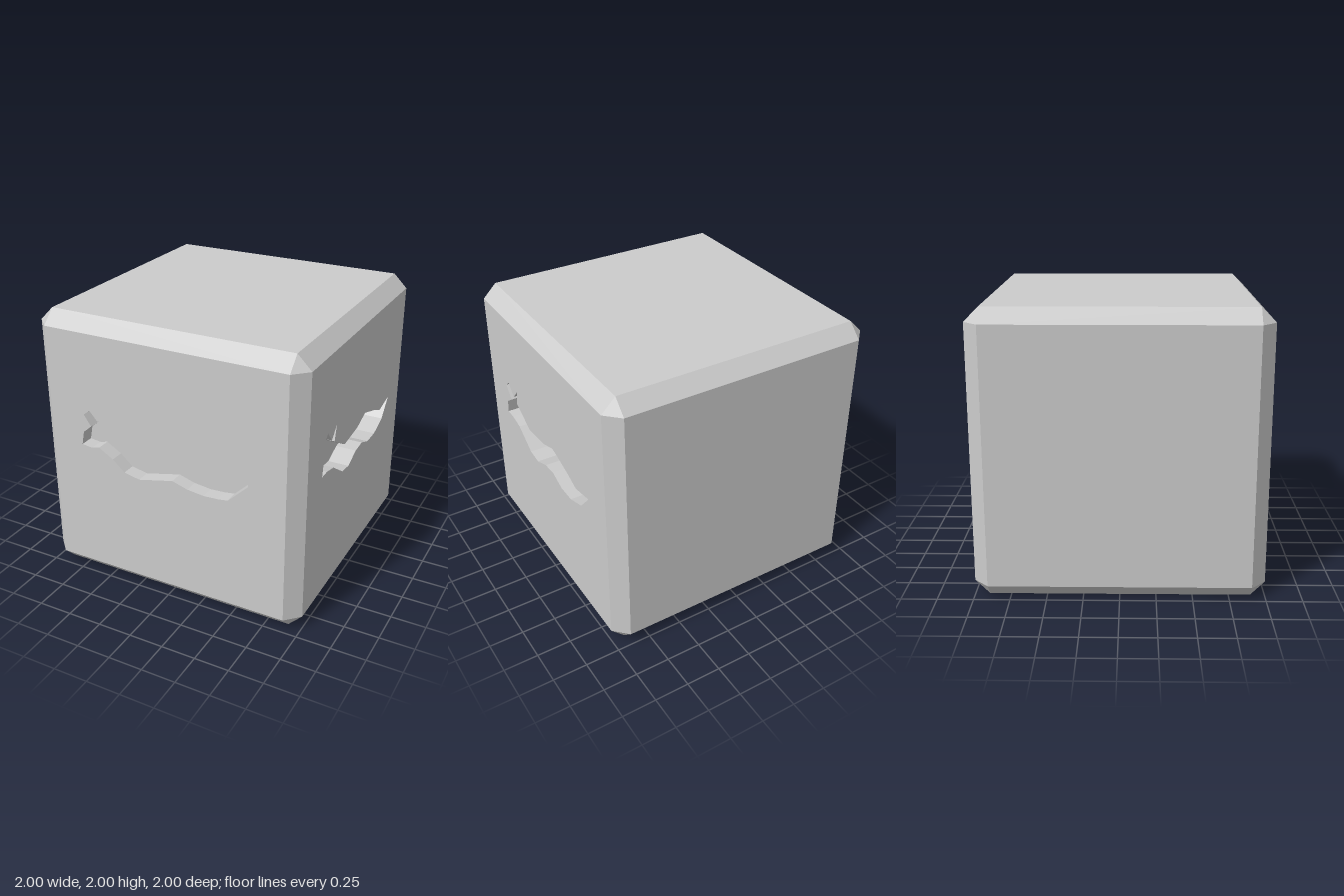
import * as THREE from 'three';

const HALF = 1, FLAT = 0.9; // half size of the block and of its flat faces
const material = new THREE.MeshStandardMaterial({ color: 0xcccccc, flatShading: true });

// Animal outlines, clockwise, relative to the centre of the face
const frontOutline = [
  [-0.66, 0.065], [-0.64, 0.165], [-0.575, 0.22], [-0.63, 0.3], [-0.58, 0.34], [-0.52, 0.27],
  [-0.4, 0.32], [-0.465, 0.22], [-0.36, 0.19], [-0.24, 0.11], [-0.055, 0.13], [0.1, 0.165],
  [0.3, 0.155], [0.43, 0.065], [0.545, 0.07], [0.63, 0.12], [0.63, 0.065], [0.485, -0.075],
  [0.41, -0.085], [0.305, -0.09], [0.18, -0.075], [0.065, -0.04], [-0.2, -0.1],
  [-0.32, -0.075], [-0.41, 0.005], [-0.52, 0.07], [-0.58, 0.055],
];
const sideOutline = [
  [-0.655, 0.06], [-0.64, 0.16], [-0.56, 0.215], [-0.635, 0.305], [-0.585, 0.35], [-0.51, 0.265],
  [-0.43, 0.35], [-0.46, 0.235], [-0.26, 0.12], [-0.015, 0.14], [0.135, 0.19], [0.34, 0.125],
  [0.475, 0.07], [0.66, 0.105], [0.54, -0.03], [0.38, -0.085], [0.235, -0.085],
  [0.105, -0.035], [-0.015, -0.045], [-0.155, -0.1], [-0.275, -0.085], [-0.455, 0.035],
  [-0.57, 0.06],
];

function addMesh(parent, name, geometry) {
  const mesh = new THREE.Mesh(geometry, material);
  mesh.name = name;
  parent.add(mesh);
  return mesh;
}

function fromTriangles(points) {
  const geometry = new THREE.BufferGeometry().setFromPoints(points);
  geometry.computeVertexNormals();
  return geometry;
}

// Flat square face, optionally with a sunken carving
function makeFace(name, outline, depth) {
  const face = new THREE.Group();
  face.name = name;
  const square = new THREE.Shape([[-1, -1], [1, -1], [1, 1], [-1, 1]]
    .map(([x, y]) => new THREE.Vector2(x * FLAT, y * FLAT)));
  if (outline) {
    const points = outline.map(([x, y]) => new THREE.Vector2(x, y));
    square.holes.push(new THREE.Path(points));
    addMesh(face, 'carvingFloor', new THREE.ShapeGeometry(new THREE.Shape(points)))
      .position.z = HALF - depth;
    const walls = [];
    points.forEach((p, i) => {
      const q = points[(i + 1) % points.length];
      const at = (v, z) => new THREE.Vector3(v.x, v.y, z);
      const [a, b] = [at(p, HALF), at(q, HALF)];
      const [c, d] = [at(q, HALF - depth), at(p, HALF - depth)];
      walls.push(a, c, b, a, d, c);
    });
    addMesh(face, 'carvingWalls', fromTriangles(walls));
  }
  addMesh(face, 'facePanel', new THREE.ShapeGeometry(square)).position.z = HALF;
  return face;
}

// Bevel strips on the 12 edges and triangles on the 8 corners
function bevelGeometry() {
  const points = [];
  const addTriangle = (a, b, c) => {
    const normal = b.clone().sub(a).cross(c.clone().sub(a));
    const centre = a.clone().add(b).add(c);
    points.push(...(normal.dot(centre) > 0 ? [a, b, c] : [a, c, b]));
  };
  // Corner of the flat face lying across the given axis
  const corner = (signs, axis) => new THREE.Vector3(
    ...signs.map((s, i) => s * (i === axis ? HALF : FLAT)));
  for (const s of [-1, 1]) for (const t of [-1, 1]) {
    for (let along = 0; along < 3; along++) {
      const u = (along + 1) % 3, v = (along + 2) % 3;
      const ends = [-1, 1].map((e) => {
        const signs = [0, 0, 0];
        signs[along] = e;
        signs[u] = s;
        signs[v] = t;
        return signs;
      });
      const [a, b] = [corner(ends[0], u), corner(ends[1], u)];
      const [c, d] = [corner(ends[1], v), corner(ends[0], v)];
      addTriangle(a, b, c);
      addTriangle(a, c, d);
    }
    for (const r of [-1, 1]) addTriangle(...[0, 1, 2].map((axis) => corner([s, t, r], axis)));
  }
  return fromTriangles(points);
}

export function createModel() {
  const model = new THREE.Group();
  model.name = 'carvedBlock';
  const block = new THREE.Group();
  block.name = 'block';
  block.position.y = HALF;
  model.add(block);

  // Name, x turn, y turn, carving outline, carving depth
  const faces = [
    ['frontFace', 0, 0, frontOutline, 0.1],
    ['leftFace', 0, Math.PI / 2, sideOutline, 0.15],
    ['backFace', 0, Math.PI],
    ['rightFace', 0, -Math.PI / 2],
    ['topFace', -Math.PI / 2, 0],
    ['bottomFace', Math.PI / 2, 0],
  ];
  for (const [name, turnX, turnY, outline, depth] of faces) {
    const face = makeFace(name, outline, depth);
    face.rotation.set(turnX, turnY, 0);
    block.add(face);
  }
  addMesh(block, 'bevels', bevelGeometry());
  return model;
}
